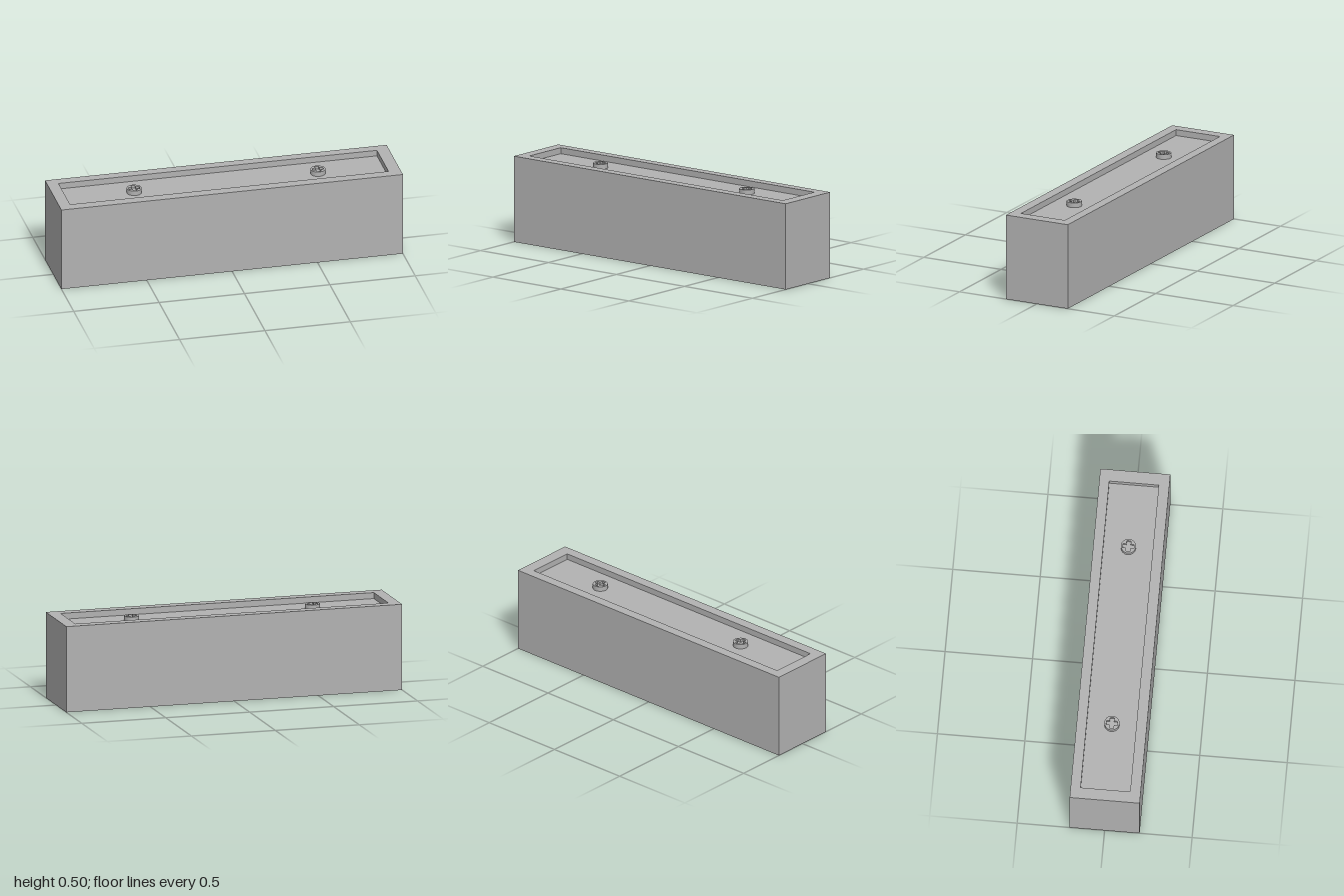
import * as THREE from 'three';

const HEIGHT = 0.5, FLOOR = 0.465;
const OUTER = { x0: -1, x1: 1, z0: -0.2, z1: 0.2 };
const POCKET = { x0: -0.935, x1: 0.93, z0: -0.143, z1: 0.14 };

// Rectangle corners, counter-clockwise seen from above
const corners = ({ x0, x1, z0, z1 }) => [[x0, z1], [x1, z1], [x1, z0], [x0, z0]];

// Four upright walls along a rectangle, facing outward or inward
function wallBand(rect, y0, y1, inward = false) {
  const c = corners(rect);
  if (inward) c.reverse();
  const pos = [];
  c.forEach(([ax, az], i) => {
    const [bx, bz] = c[(i + 1) % 4];
    pos.push(ax, y0, az, bx, y0, bz, bx, y1, bz, ax, y0, az, bx, y1, bz, ax, y1, az);
  });
  const geo = new THREE.BufferGeometry();
  geo.setAttribute('position', new THREE.Float32BufferAttribute(pos, 3));
  geo.computeVertexNormals();
  return geo;
}

// Flat upward-facing rectangle, with an optional rectangular opening
function sheet(rect, y, hole) {
  const points = (r) => corners(r).map(([x, z]) => new THREE.Vector2(x, -z));
  const shape = new THREE.Shape(points(rect));
  if (hole) shape.holes.push(new THREE.Path(points(hole)));
  return new THREE.ShapeGeometry(shape).rotateX(-Math.PI / 2).translate(0, y, 0);
}

// Cross-shaped outline of the screw drive
function crossPath(arm, half) {
  const pts = [];
  for (let i = 0; i < 4; i++) {
    const a = (i * Math.PI) / 2;
    for (const [x, y] of [[arm, -half], [arm, half], [half, half]]) {
      pts.push(new THREE.Vector2(x * Math.cos(a) - y * Math.sin(a), x * Math.sin(a) + y * Math.cos(a)));
    }
  }
  return new THREE.Path(pts);
}

export function createModel() {
  const group = new THREE.Group();
  const grey = new THREE.MeshStandardMaterial({ color: 0xb2b2b2, side: THREE.DoubleSide });
  const add = (name, geo, parent = group) => {
    const mesh = new THREE.Mesh(geo, grey);
    mesh.name = name;
    parent.add(mesh);
    return mesh;
  };

  // Thin housing, open underneath, with a shallow pocket in the top
  add('outerWalls', wallBand(OUTER, 0, HEIGHT));
  add('topRim', sheet(OUTER, HEIGHT, POCKET));
  add('pocketWalls', wallBand(POCKET, FLOOR, HEIGHT, true));
  add('pocketFloor', sheet(POCKET, FLOOR));

  // Screw heads with a cross recess
  const radius = 0.043, headHeight = 0.028, slotDepth = 0.016;
  const head = new THREE.Shape().absarc(0, 0, radius, 0, Math.PI * 2, false);
  head.holes.push(crossPath(0.032, 0.012));
  const headGeo = new THREE.ExtrudeGeometry(head, { depth: slotDepth, bevelEnabled: false, curveSegments: 24 })
    .rotateX(-Math.PI / 2).translate(0, headHeight - slotDepth, 0);
  const baseHeight = headHeight - slotDepth;
  const baseGeo = new THREE.CylinderGeometry(radius, radius, baseHeight, 24).translate(0, baseHeight / 2, 0);

  [['rightScrew', -0.526], ['leftScrew', 0.55]].forEach(([name, x]) => {
    const screw = new THREE.Group();
    screw.name = name;
    screw.position.set(x, FLOOR, 0);
    add('screwBase', baseGeo, screw);
    add('screwHead', headGeo, screw);
    group.add(screw);
  });

  return group;
}
